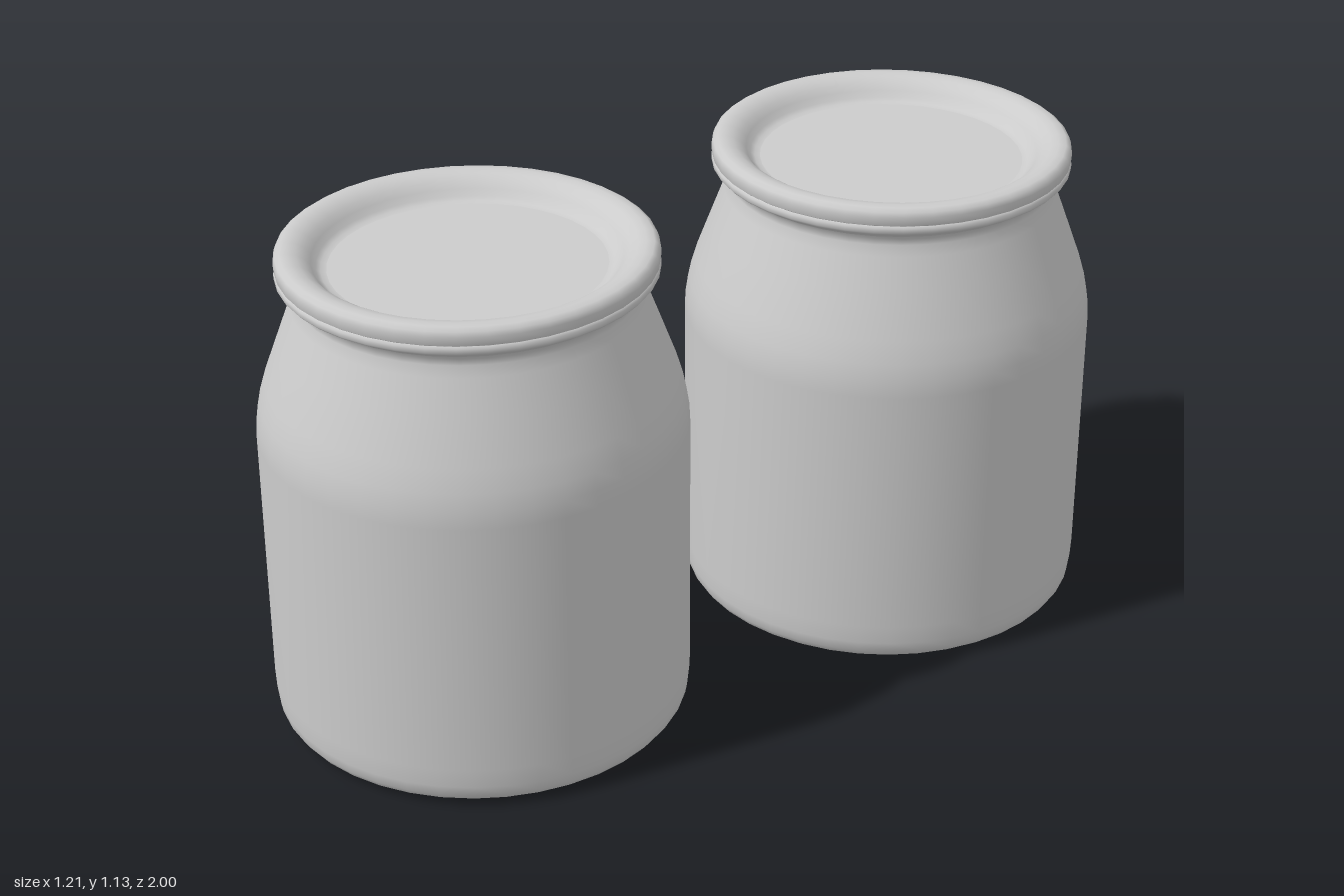
import * as THREE from 'three';

const SEGMENTS = 40;

// Revolve a profile of [radius, height] pairs, listed from bottom to top
function revolve(name, profile, material) {
  const points = profile.map(([r, y]) => new THREE.Vector2(r, y));
  const mesh = new THREE.Mesh(new THREE.LatheGeometry(points, SEGMENTS), material);
  mesh.name = name;
  return mesh;
}

function createJar(material) {
  const jar = new THREE.Group();

  // Body: rounded foot, straight wall, sloping shoulder and narrow neck
  jar.add(revolve('body', [
    [0.425, 0], [0.44, 0.005], [0.455, 0.016], [0.466, 0.032], [0.47, 0.055],
    [0.472, 0.1], [0.472, 0.4], [0.472, 0.7], [0.47, 0.74], [0.462, 0.78],
    [0.447, 0.83], [0.41, 0.93], [0.382, 1.005], [0.373, 1.03], [0.374, 1.045],
    [0.385, 1.06], [0.398, 1.07],
  ], material));

  // Flat underside
  const base = new THREE.Mesh(new THREE.CircleGeometry(0.425, SEGMENTS), material);
  base.name = 'base';
  base.rotation.set(Math.PI / 2, 0, 0);
  jar.add(base);

  // Lower lip of the lid, with a fine groove above it
  jar.add(revolve('lidLip', [
    [0.37, 1.045], [0.393, 1.064], [0.406, 1.07], [0.411, 1.076],
    [0.411, 1.086], [0.406, 1.09],
  ], material));

  // Raised rim, rolling inward down to the recessed panel
  jar.add(revolve('lidRim', [
    [0.405, 1.09], [0.41, 1.093], [0.411, 1.112], [0.407, 1.123], [0.397, 1.13],
    [0.38, 1.131], [0.362, 1.127], [0.345, 1.117], [0.332, 1.103],
    [0.322, 1.09], [0.312, 1.083], [0.3, 1.081],
  ], material));

  // Recessed flat panel
  const panel = new THREE.Mesh(new THREE.CircleGeometry(0.301, SEGMENTS), material);
  panel.name = 'lidPanel';
  panel.rotation.x = -Math.PI / 2;
  panel.position.y = 1.081;
  jar.add(panel);

  return jar;
}

export function createModel() {
  const model = new THREE.Group();
  model.name = 'jarPair';
  const material = new THREE.MeshStandardMaterial({ color: 0xcccccc, side: THREE.DoubleSide });

  // Two equal jars placed diagonally
  for (const [name, side] of [['frontJar', 1], ['backJar', -1]]) {
    const jar = createJar(material);
    jar.name = name;
    jar.position.set(-0.134 * side, 0, 0.528 * side);
    model.add(jar);
  }
  return model;
}
